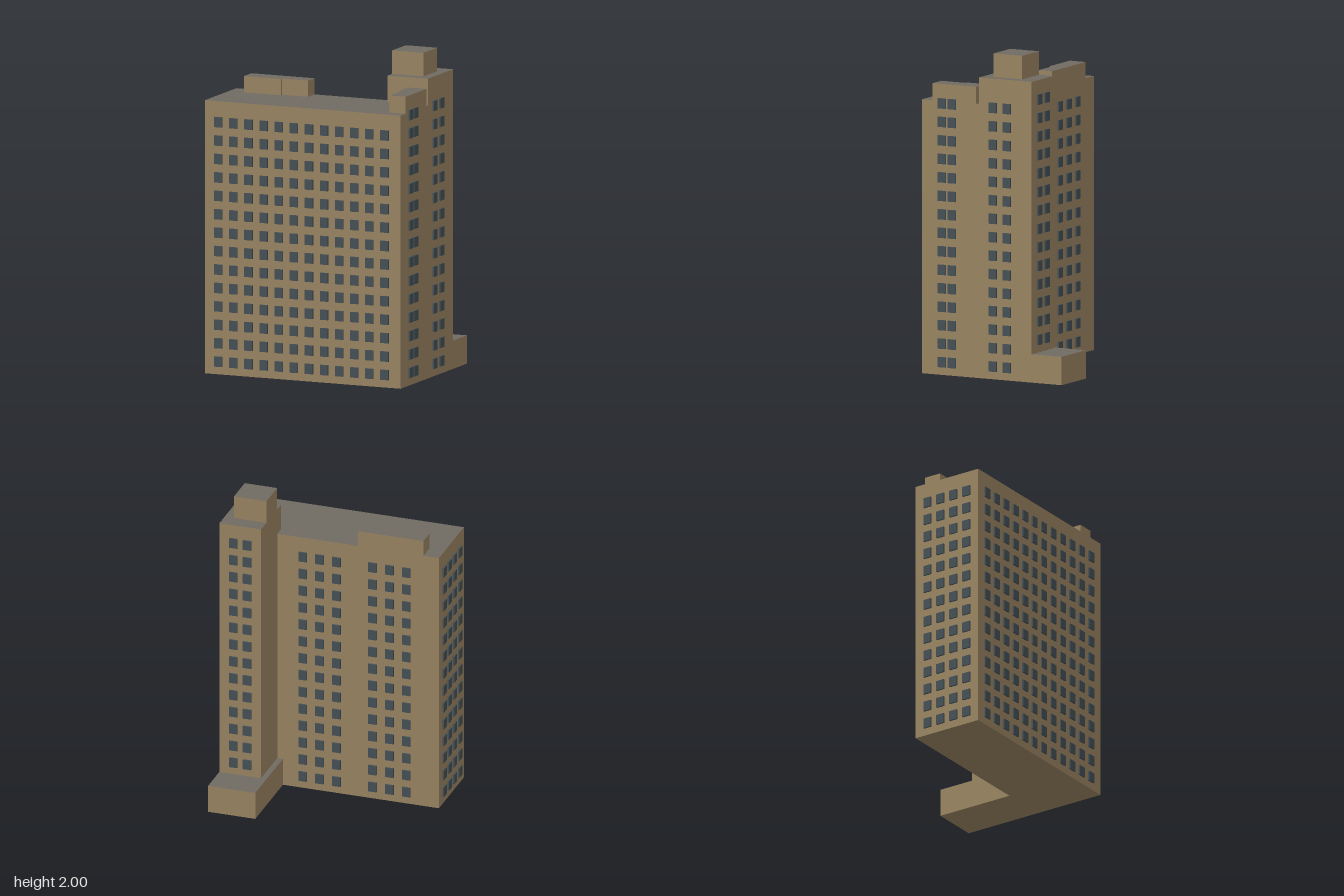
import * as THREE from 'three';
import { mergeGeometries } from 'three/addons/utils/BufferGeometryUtils.js';

const wall = new THREE.MeshStandardMaterial({ color: 0x9c8664 });
const roof = new THREE.MeshStandardMaterial({ color: 0x706b62 });
const glass = new THREE.MeshStandardMaterial({ color: 0x465257 });

// Plan coordinates: u runs along the long front wall, v runs back from it
const L = 1.312, D = 0.463, TOWER = 1.043;
const ROW = 0.114, WIN_W = 0.053, WIN_H = 0.063, WIN_D = 0.01;

// Box between plan limits, with a grey roof on top
function block(name, u0, u1, v0, v1, y0, y1) {
  const geo = new THREE.BoxGeometry(u1 - u0, y1 - y0, v1 - v0);
  const mesh = new THREE.Mesh(geo, [wall, wall, roof, wall, wall, wall]);
  mesh.position.set((u0 + u1) / 2, (y0 + y1) / 2, -(v0 + v1) / 2);
  mesh.name = name;
  return mesh;
}

// Grid of window slabs standing slightly proud of a wall.
// place(s) gives the plan position [u, v] of a column; along is the wall's direction
function windows(name, columns, rows, y0, along, place) {
  const parts = [];
  for (const s of columns) {
    const [u, v] = place(s);
    for (let r = 0; r < rows; r++) {
      const slab = along === 'u'
        ? new THREE.BoxGeometry(WIN_W, WIN_H, WIN_D)
        : new THREE.BoxGeometry(WIN_D, WIN_H, WIN_W);
      parts.push(slab.translate(u, y0 + r * ROW, -v));
    }
  }
  const mesh = new THREE.Mesh(mergeGeometries(parts), glass);
  mesh.name = name;
  return mesh;
}

const series = (n, start, step) => Array.from({ length: n }, (_, i) => start + i * step);

export function createModel() {
  const model = new THREE.Group();
  model.name = 'apartmentBuilding';

  const building = new THREE.Group();
  building.name = 'building';
  building.position.set(-0.81, 0, -0.12);
  building.rotation.y = -0.5097;
  model.add(building);

  building.add(
    // Main slab and low rear wing
    block('mainBlock', 0, L, 0, D, 0, 1.69),
    block('lowWing', 1.007, L, D, 0.974, 0, 0.175),
    // Stair tower, its head overlapping the main roof
    block('towerShaft', TOWER, L, D, 0.765, 0.175, 1.69),
    block('towerHead', TOWER, L, 0.398, 0.765, 1.69, 1.855),
    block('towerPenthouse', TOWER, 1.253, 0.465, 0.665, 1.855, 2),
    // Stepped plant rooms on the roof edges
    block('sideRoofRoomFront', 1.205, L, 0.073, 0.241, 1.69, 1.795),
    block('sideRoofRoomRear', 1.187, L, 0.241, 0.377, 1.69, 1.795),
    block('backRoofRoomLarge', 0.1, 0.348, 0.352, D, 1.69, 1.79),
    block('backRoofRoomSmall', 0.348, 0.522, 0.37, D, 1.69, 1.79),
  );

  // Window grids, one per wall
  const out = WIN_D / 2;
  building.add(
    windows('frontWindows', series(12, 0.092, 0.1013), 14, 0.079, 'u', s => [s, -out]),
    windows('leftSideWindows', [0.14, 0.21, 0.495, 0.592], 15, 0.079, 'v', s => [L + out, s]),
    windows('rightSideWindows', series(4, 0.085, 0.096), 14, 0.079, 'v', s => [-out, s]),
    windows('backWindows', [...series(3, 0.209, 0.109), ...series(3, 0.66, 0.109)], 14, 0.079, 'u', s => [s, D + out]),
    windows('towerBackWindows', [1.131, 1.22], 14, 0.254, 'u', s => [s, 0.765 + out]),
  );
  return model;
}
